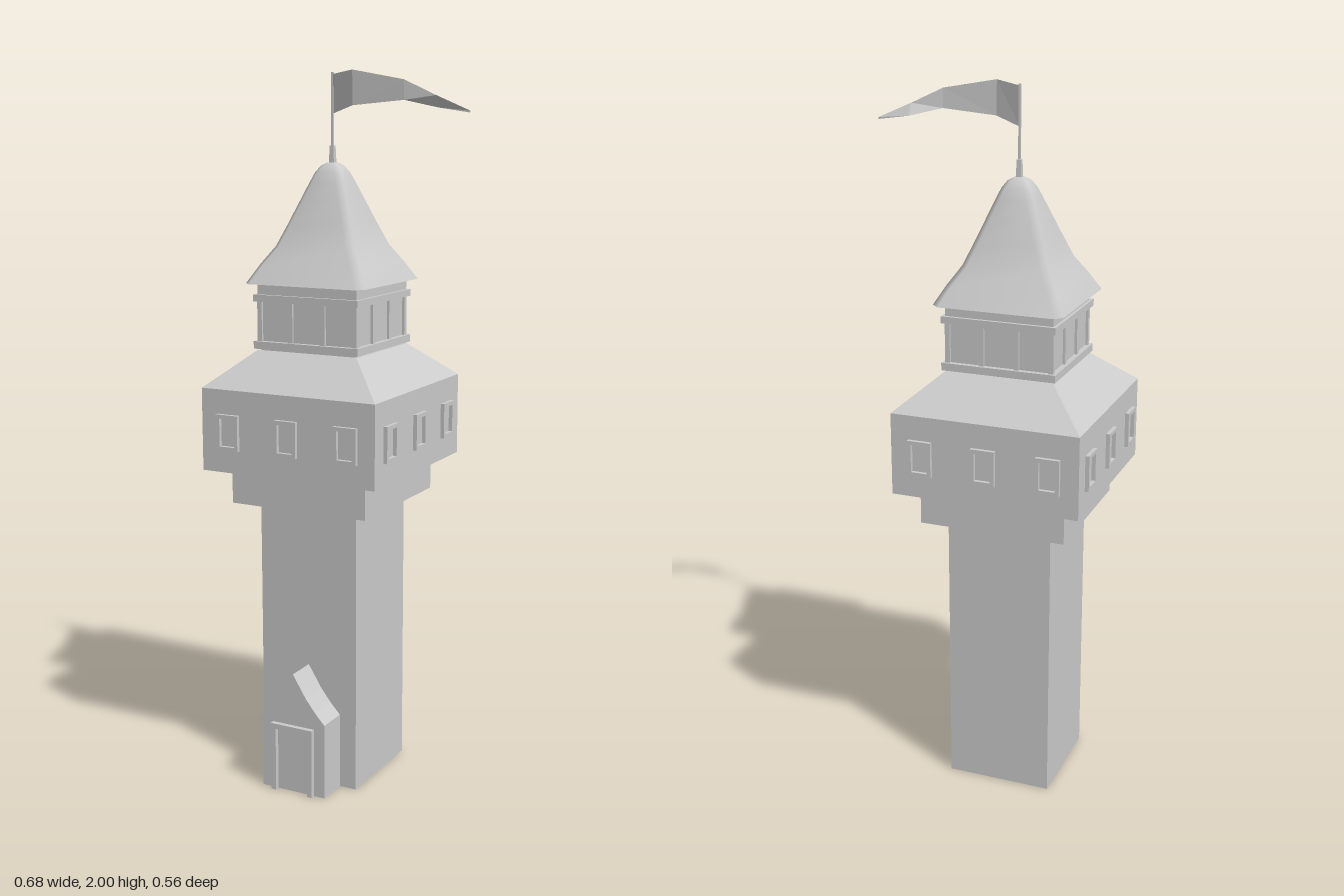
import * as THREE from 'three';

const flat = new THREE.MeshStandardMaterial({ color: 0xcccccc, flatShading: true, side: THREE.DoubleSide });
const smooth = new THREE.MeshStandardMaterial({ color: 0xcccccc, side: THREE.DoubleSide });

function add(parent, name, geometry, material = flat) {
  const mesh = new THREE.Mesh(geometry, material);
  mesh.name = name;
  parent.add(mesh);
  return mesh;
}

// square block or frustum between two heights, given by half widths
function block(parent, name, y0, y1, half0, half1 = half0, open = false) {
  const g = new THREE.CylinderGeometry(half1 * Math.SQRT2, half0 * Math.SQRT2, y1 - y0, 4, 1, open);
  g.rotateY(Math.PI / 4);
  g.translate(0, (y0 + y1) / 2, 0);
  return add(parent, name, g);
}

function rect(path, x, y0, y1) {
  path.moveTo(-x, y0);
  path.lineTo(x, y0);
  path.lineTo(x, y1);
  path.lineTo(-x, y1);
  path.closePath();
  return path;
}

function extrude(shape, depth) {
  return new THREE.ExtrudeGeometry(shape, { depth, bevelEnabled: false });
}

// flared roof: chamfered square sections lofted upwards with smooth normals
function roofGeometry() {
  const profile = [ // y, half width, corner chamfer
    [1.43, 0.184, 0.022], [1.48, 0.155, 0.02], [1.53, 0.122, 0.019], [1.59, 0.097, 0.018],
    [1.65, 0.073, 0.017], [1.7, 0.053, 0.016], [1.728, 0.041, 0.015], [1.747, 0.027, 0.011], [1.755, 0.012, 0.005],
  ];
  const pos = [], idx = [];
  for (const [y, h, c] of profile) {
    const k = h - c;
    for (const [x, z] of [[h, -k], [h, k], [k, h], [-k, h], [-h, k], [-h, -k], [-k, -h], [k, -h]]) pos.push(x, y, z);
  }
  for (let r = 0; r < profile.length - 1; r++) {
    for (let i = 0; i < 8; i++) {
      const a = r * 8 + i, b = r * 8 + (i + 1) % 8;
      idx.push(a, a + 8, b, b, a + 8, b + 8);
    }
  }
  const top = (profile.length - 1) * 8;
  for (let i = 1; i < 7; i++) idx.push(top, top + i + 1, top + i);
  const g = new THREE.BufferGeometry();
  g.setAttribute('position', new THREE.Float32BufferAttribute(pos, 3));
  g.setIndex(idx);
  g.computeVertexNormals();
  return g;
}

// waving pennant: columns of x, z top, z bottom, y top, y bottom
function flagGeometry() {
  const cols = [
    [0, 0, 0, 1.99, 1.885], [0.075, 0.028, 0.025, 2, 1.907], [0.225, 0.022, 0.019, 1.973, 1.92],
    [0.31, 0.002, -0.017, 1.932, 1.9], [0.4, -0.015, -0.015, 1.892, 1.887],
  ];
  const pos = [], idx = [];
  cols.forEach(([x, zt, zb, yt, yb], i) => {
    pos.push(x, yt, zt, x, yb, zb);
    if (i) idx.push(2 * i - 2, 2 * i - 1, 2 * i, 2 * i, 2 * i - 1, 2 * i + 1);
  });
  const g = new THREE.BufferGeometry();
  g.setAttribute('position', new THREE.Float32BufferAttribute(pos, 3));
  g.setIndex(idx);
  g.computeVertexNormals();
  return g;
}

export function createModel() {
  const model = new THREE.Group();
  model.name = 'watchtower';
  const tower = new THREE.Group();
  tower.name = 'tower';
  tower.position.x = -0.065;
  model.add(tower);

  // main body, hollow at the foot
  block(tower, 'shaft', 0, 0.815, 0.151, 0.151, true);
  block(tower, 'corbel', 0.815, 0.916, 0.209);
  block(tower, 'upperStorey', 0.916, 1.148, 0.267);
  block(tower, 'skirtRoof', 1.148, 1.245, 0.267, 0.155);

  // lantern under the roof
  block(tower, 'lanternCore', 1.24, 1.43, 0.147);
  block(tower, 'lowerBand', 1.25, 1.271, 0.162);
  block(tower, 'upperBand', 1.381, 1.4, 0.162);
  block(tower, 'lanternHead', 1.4, 1.43, 0.153);

  // windows and lantern posts on all four sides
  const frame = rect(new THREE.Shape(), 0.034, -0.05, 0.05);
  frame.holes.push(rect(new THREE.Path(), 0.023, -0.039, 0.039));
  const frameGeo = extrude(frame, 0.012);
  const postGeo = new THREE.BoxGeometry(0.014, 0.112, 0.01);
  for (let s = 0; s < 4; s++) {
    const side = new THREE.Group();
    side.name = 'side' + (s + 1);
    side.rotation.y = s * Math.PI / 2;
    tower.add(side);
    for (const x of [-0.182, 0, 0.182]) {
      add(side, 'windowFrame', frameGeo).position.set(x, 1.03, 0.266);
    }
    for (const x of [-0.147, -0.05, 0.05, 0.147]) {
      add(side, 'lanternPost', postGeo).position.set(x, 1.326, 0.149);
    }
  }

  // roof, finial and flag
  add(tower, 'roof', roofGeometry(), smooth);
  const soffit = rect(new THREE.Shape(), 0.166, -0.184, 0.184);
  const soffitGeo = new THREE.ShapeGeometry(new THREE.Shape([
    [0.184, -0.162], [0.184, 0.162], [0.162, 0.184], [-0.162, 0.184],
    [-0.184, 0.162], [-0.184, -0.162], [-0.162, -0.184], [0.162, -0.184],
  ].map(([x, y]) => new THREE.Vector2(x, y))));
  soffitGeo.rotateX(Math.PI / 2);
  add(tower, 'roofSoffit', soffitGeo).position.y = 1.43;
  block(tower, 'finial', 1.745, 1.8, 0.008, 0.006);
  block(tower, 'flagPole', 1.8, 1.995, 0.003);
  add(tower, 'flag', flagGeometry());

  // gabled porch with an open doorway, curved eaves
  const porch = new THREE.Shape();
  porch.moveTo(-0.1, 0);
  porch.lineTo(-0.058, 0);
  porch.lineTo(-0.058, 0.19);
  porch.lineTo(0.058, 0.19);
  porch.lineTo(0.058, 0);
  porch.lineTo(0.1, 0);
  porch.lineTo(0.1, 0.218);
  porch.lineTo(0.07, 0.25);
  porch.lineTo(0.04, 0.288);
  porch.lineTo(0, 0.352);
  porch.lineTo(-0.04, 0.288);
  porch.lineTo(-0.07, 0.25);
  porch.lineTo(-0.1, 0.218);
  porch.closePath();
  add(tower, 'porch', extrude(porch, 0.092)).position.z = 0.15;

  const doorFrame = new THREE.Shape([
    [-0.066, 0], [-0.05, 0], [-0.05, 0.185], [0.05, 0.185],
    [0.05, 0], [0.066, 0], [0.066, 0.2], [-0.066, 0.2],
  ].map(([x, y]) => new THREE.Vector2(x, y)));
  add(tower, 'doorFrame', extrude(doorFrame, 0.025)).position.z = 0.231;
  add(tower, 'door', new THREE.BoxGeometry(0.116, 0.19, 0.008)).position.set(0, 0.095, 0.238);

  return model;
}
